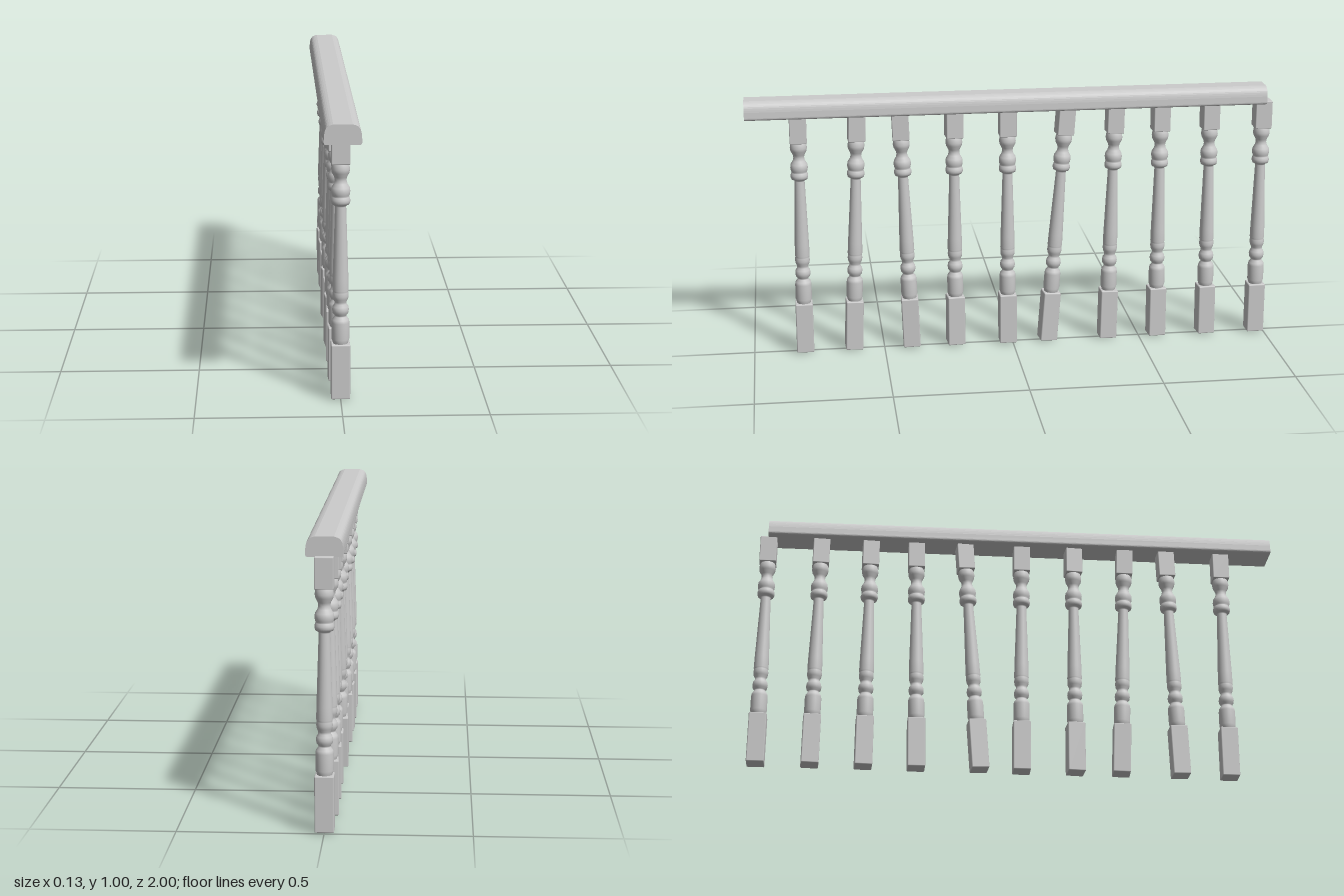
import * as THREE from 'three';
import { RoundedBoxGeometry } from 'three/addons/geometries/RoundedBoxGeometry.js';

const material = new THREE.MeshStandardMaterial({ color: 0xcccccc });
const HEIGHT = 0.937;

// Turned profile as [radius, height], from the base block up to the top block
const profile = [
  [0.025, 0.19], [0.027, 0.2], [0.031, 0.212], [0.031, 0.27], [0.029, 0.281], [0.021, 0.292],
  [0.021, 0.297], [0.027, 0.304], [0.029, 0.316], [0.027, 0.328], [0.021, 0.337], [0.021, 0.345],
  [0.026, 0.355], [0.028, 0.366], [0.027, 0.378], [0.026, 0.382], [0.028, 0.386], [0.027, 0.43],
  [0.019, 0.68], [0.021, 0.685], [0.030, 0.689], [0.033, 0.697], [0.033, 0.705], [0.030, 0.714],
  [0.028, 0.717], [0.031, 0.721], [0.033, 0.734], [0.031, 0.747], [0.023, 0.760], [0.020, 0.772],
  [0.022, 0.783], [0.030, 0.798], [0.032, 0.810], [0.030, 0.824], [0.026, 0.834],
].map(([r, y]) => new THREE.Vector2(r, y));

const turnedGeometry = new THREE.LatheGeometry(profile, 24);
const baseGeometry = new RoundedBoxGeometry(0.066, 0.196, 0.066, 1, 0.004);
const topGeometry = new RoundedBoxGeometry(0.064, HEIGHT - 0.83, 0.064, 1, 0.003);

function addMesh(parent, name, geometry, y = 0) {
  const mesh = new THREE.Mesh(geometry, material);
  mesh.name = name;
  mesh.position.y = y;
  parent.add(mesh);
  return mesh;
}

// Baluster whose foot stands at zFoot and whose head meets the rail at zHead
function createBaluster(zFoot, zHead, yaw, x) {
  const baluster = new THREE.Group();
  baluster.name = 'baluster';
  addMesh(baluster, 'baseBlock', baseGeometry, 0.098);
  addMesh(baluster, 'turnedShaft', turnedGeometry);
  addMesh(baluster, 'topBlock', topGeometry, (HEIGHT + 0.83) / 2);
  baluster.position.set(x, 0.002, zFoot);
  baluster.rotation.set(Math.asin((zHead - zFoot) / HEIGHT), yaw, 0);
  return baluster;
}

// Handrail section with rounded shoulders, swept along z
function createHandrail() {
  const s = new THREE.Shape();
  s.moveTo(-0.057, 0.935);
  s.lineTo(0.057, 0.935);
  s.quadraticCurveTo(0.063, 0.937, 0.063, 0.945);
  s.lineTo(0.062, 0.966);
  s.bezierCurveTo(0.059, 0.99, 0.055, 0.998, 0.032, 1.003);
  s.lineTo(-0.032, 1.003);
  s.bezierCurveTo(-0.055, 0.998, -0.059, 0.99, -0.062, 0.966);
  s.lineTo(-0.063, 0.945);
  s.quadraticCurveTo(-0.063, 0.937, -0.057, 0.935);
  return new THREE.ExtrudeGeometry(s, { depth: 1.967, bevelEnabled: false, curveSegments: 8 });
}

export function createModel() {
  const model = new THREE.Group();
  model.name = 'balustrade';

  addMesh(model, 'handrail', createHandrail()).position.z = -0.967;

  // Foot z, head z, yaw and sideways offset; a few balusters have come loose and lean
  const balusters = [
    [0.805, 0.805, 0, 0],
    [0.618, 0.586, 0.04, -0.004],
    [0.393, 0.425, -0.04, -0.004],
    [0.222, 0.222, 0.08, -0.004],
    [0.019, 0.019, 0, 0],
    [-0.138, -0.206, 0.1, -0.005],
    [-0.374, -0.393, 0.03, 0],
    [-0.570, -0.570, 0.06, -0.003],
    [-0.767, -0.762, 0.06, -0.004],
    [-0.966, -0.966, 0, 0],
  ];
  for (const b of balusters) model.add(createBaluster(...b));
  return model;
}
